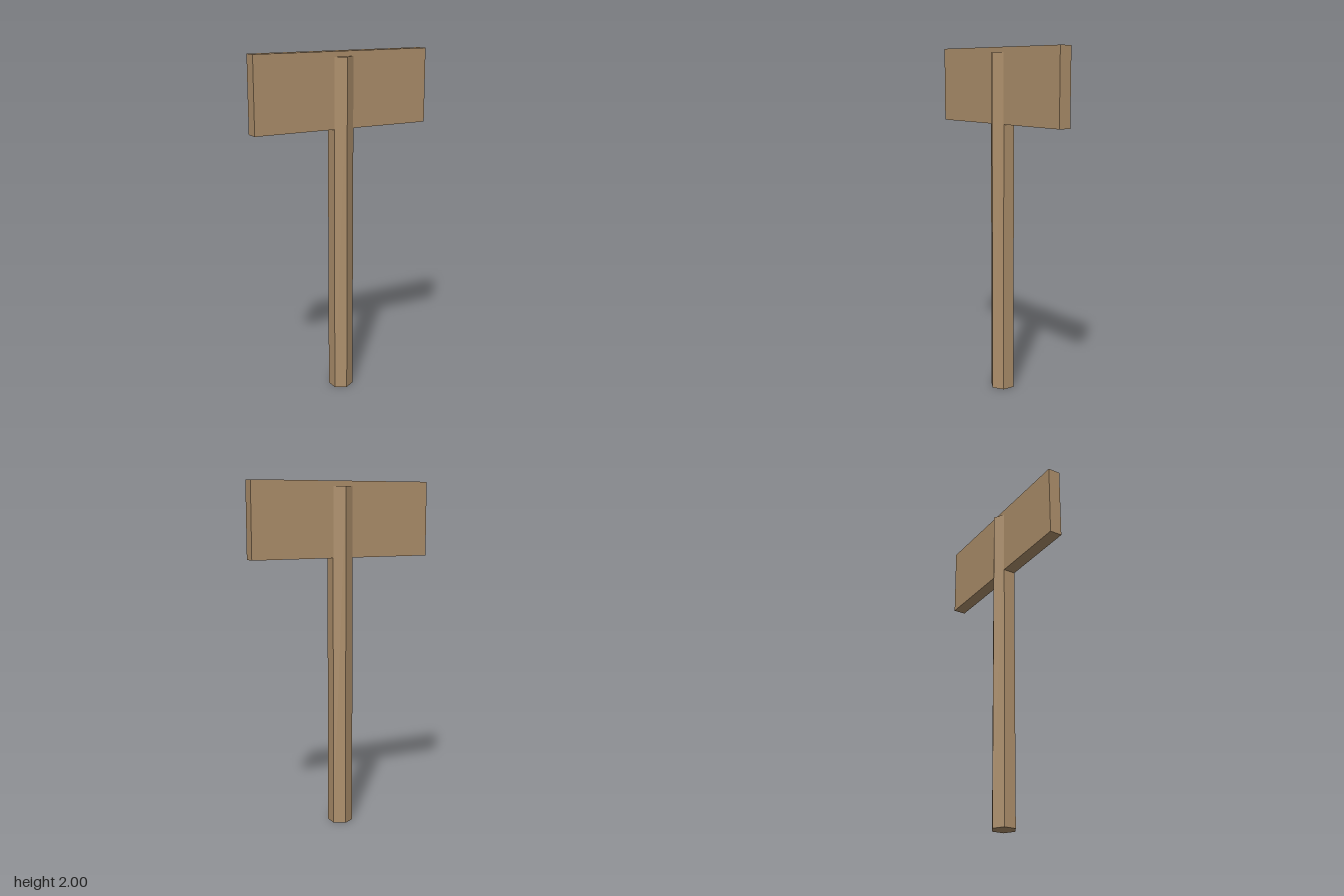
import * as THREE from 'three';

export function createModel() {
  const group = new THREE.Group();
  group.name = 'signpost';
  const wood = new THREE.MeshStandardMaterial({ color: 0xad8f6b });
  wood.name = 'wood';
  wood.flatShading = true;

  // Hexagonal post with an edge facing front and back
  const postHeight = 1.97;
  const post = new THREE.Mesh(new THREE.CylinderGeometry(0.072, 0.072, postHeight, 6), wood);
  post.name = 'post';
  post.position.y = postHeight / 2;

  // Blank board through which the post runs
  const boardHeight = 0.43;
  const board = new THREE.Mesh(new THREE.BoxGeometry(1.106, boardHeight, 0.074), wood);
  board.name = 'board';
  board.position.y = 2 - boardHeight / 2;

  group.add(post, board);
  return group;
}
